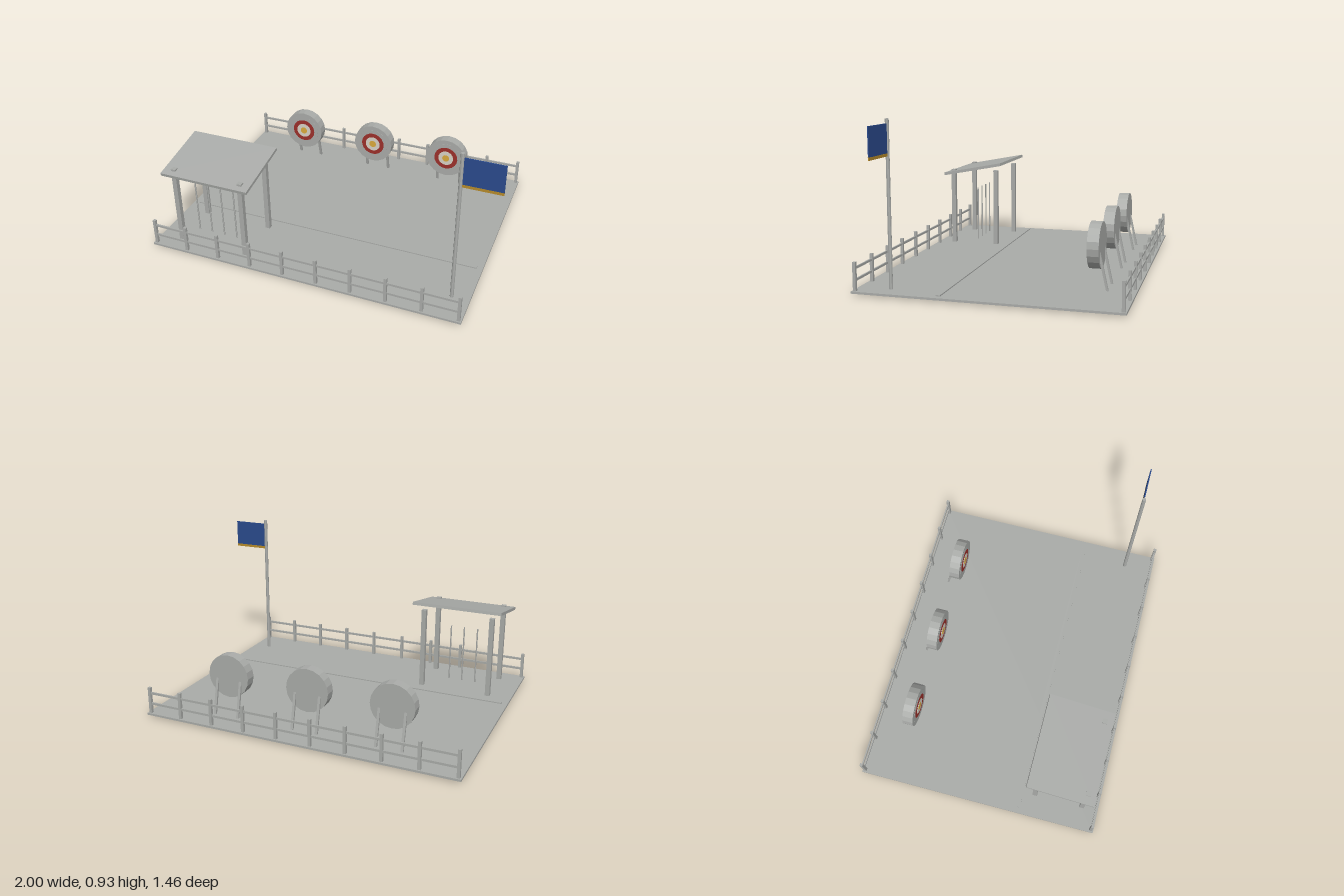
import * as THREE from 'three';

const mat = (name, color, extra = {}) => {
  const m = new THREE.MeshStandardMaterial({ color, ...extra });
  m.name = name;
  return m;
};

export function createModel() {
  const model = new THREE.Group();
  model.name = 'archeryRange';

  const grey = mat('weatheredGrey', 0xa9aba8, { flatShading: true });
  const red = mat('targetRed', 0x9c2f2a);
  const cream = mat('targetCream', 0xd8d2c6);
  const gold = mat('targetGold', 0xd9a93c);
  const blue = mat('flagBlue', 0x2a4a8c);
  const trim = mat('flagTrim', 0xb58a2a);

  const add = (parent, name, geo, material, x, y, z) => {
    const mesh = new THREE.Mesh(geo, material);
    mesh.name = name;
    mesh.position.set(x, y, z);
    parent.add(mesh);
    return mesh;
  };
  const box = (parent, name, w, h, d, x, y, z, material = grey) =>
    add(parent, name, new THREE.BoxGeometry(w, h, d), material, x, y, z);
  const group = (name) => {
    const g = new THREE.Group();
    g.name = name;
    model.add(g);
    return g;
  };

  const midX = -0.06, floor = 0.022;

  // Ground slab and the raised shooting line
  box(model, 'ground', 1.88, 0.012, 1.46, midX, 0.016, 0);
  box(model, 'shootingLine', 1.81, 0.006, 0.025, midX, 0.025, 0.254);

  // Post and rail fences along the front and back
  for (const z of [0.713, -0.713]) {
    const fence = group(z > 0 ? 'frontFence' : 'backFence');
    for (let i = 0; i < 10; i++) {
      box(fence, 'fencePost', 0.017, 0.158, 0.017, -0.982 + i * 0.205, 0.1, z);
    }
    for (const y of [0.08, 0.145]) box(fence, 'fenceRail', 1.845, 0.013, 0.009, midX, y, z);
  }

  // Round targets on two slanted legs
  const disc = (r, depth) => new THREE.CylinderGeometry(r, r, depth, 20).rotateX(Math.PI / 2);
  const rings = [['outerRing', 0.102, grey], ['redRing', 0.076, red],
    ['creamRing', 0.049, cream], ['bullseye', 0.023, gold]];
  for (const x of [-0.56, -0.06, 0.44]) {
    const target = group('target');
    target.position.set(x, 0.252, -0.502);
    add(target, 'targetButt', disc(0.128, 0.064), grey, 0, 0, 0);
    rings.forEach(([name, r, m], i) => {
      const t = 0.0013 * (i + 1);
      add(target, name, disc(r, t), m, 0, 0, 0.032 + t / 2);
    });
    for (const s of [-1, 1]) {
      const leg = box(target, 'targetLeg', 0.015, 0.25, 0.012, s * 0.075, -0.129, -0.05);
      leg.rotation.x = 0.22;
    }
  }

  // Open shelter with a sloping roof
  const shelter = group('shelter');
  for (const x of [-0.857, -0.436]) {
    for (const z of [0.63, 0.337]) {
      box(shelter, 'shelterPost', 0.028, 0.515 - floor, 0.028, x, (0.515 + floor) / 2, z);
    }
  }
  const roof = box(shelter, 'roof', 0.545, 0.018, 0.394, -0.647, 0.525, 0.483);
  roof.rotation.x = 0.187;

  // Thin upright rods stored below the roof
  for (let i = 0; i < 4; i++) {
    add(shelter, 'rod', new THREE.CylinderGeometry(0.0045, 0.0045, 0.355, 6), grey,
      -0.815 + i * 0.084, 0.1995, 0.505);
  }

  // Flagpole and flag with a trimmed lower edge
  const flag = group('flag');
  add(flag, 'flagPole', new THREE.CylinderGeometry(0.011, 0.011, 0.908, 8), grey, 0.778, 0.476, 0.545);
  box(flag, 'flagCloth', 0.213, 0.155, 0.006, 0.8935, 0.8275, 0.545, blue);
  box(flag, 'flagTrim', 0.213, 0.016, 0.007, 0.8935, 0.742, 0.545, trim);

  return model;
}
